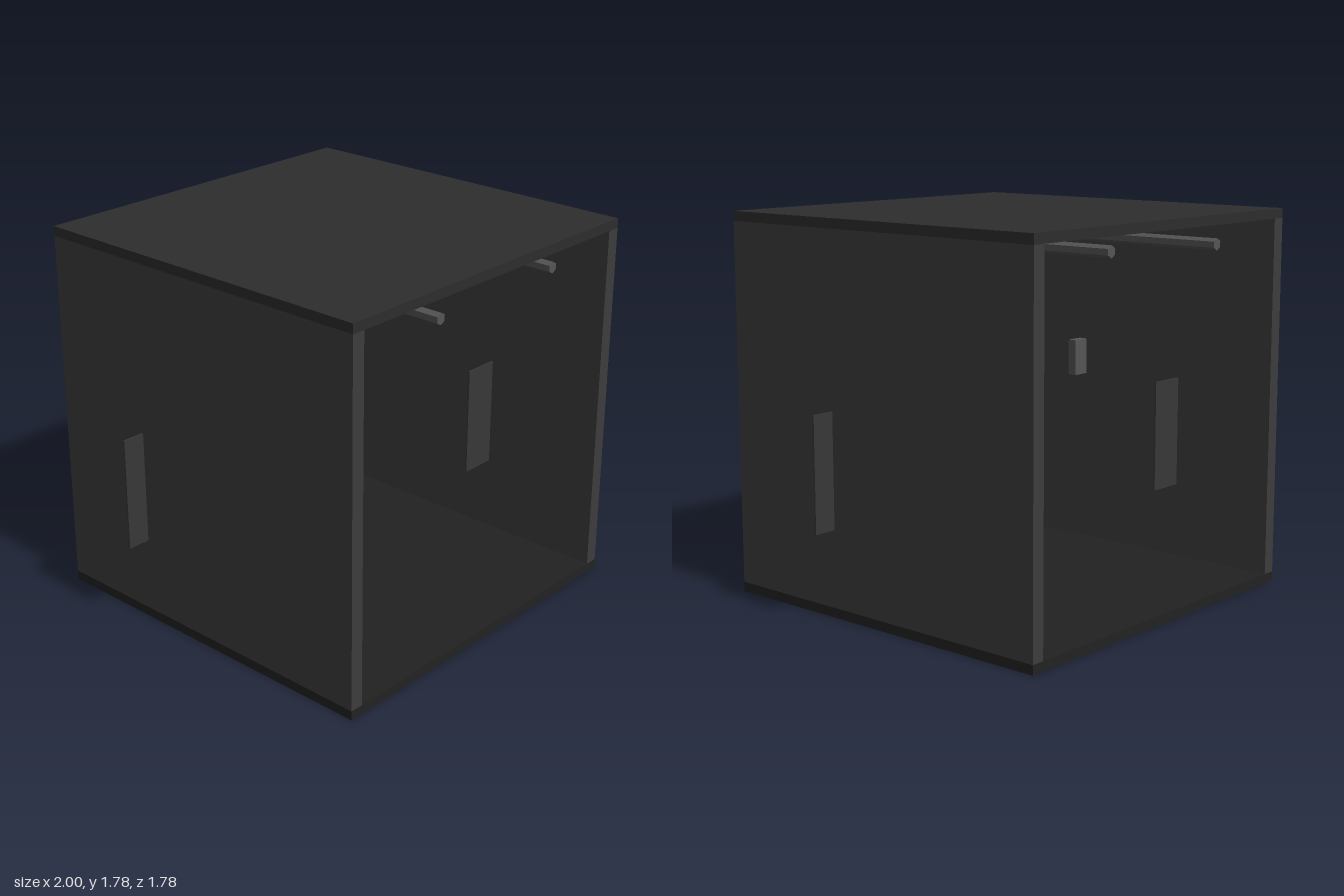
import * as THREE from 'three';

export function createModel() {
  const model = new THREE.Group();
  const paint = (color) => new THREE.MeshStandardMaterial({ color, flatShading: true });
  const ceilingPaint = paint(0x2d2d2d);
  const floorPaint = paint(0x222222);
  const wallPaint = paint(0x3d3d3d);
  const panelPaint = paint(0x383838);
  const fittingPaint = paint(0x555555);

  const add = (name, geometry, material, x, y, z) => {
    const mesh = new THREE.Mesh(geometry, material);
    mesh.name = name;
    mesh.position.set(x, y, z);
    model.add(mesh);
    return mesh;
  };

  const size = 1.78; // width and depth of the open-ended room
  const height = 1.785;
  const slab = 0.045;
  const wall = 0.065;

  // Floor and ceiling slabs
  const slabGeometry = new THREE.BoxGeometry(size, slab, size);
  add('floor', slabGeometry, floorPaint, 0, slab / 2, 0);
  add('ceiling', slabGeometry, ceilingPaint, 0, height - slab / 2, 0);

  // Side walls, each pierced by a thin upright panel
  const wallGeometry = new THREE.BoxGeometry(wall, height - 2 * slab, size);
  const panelGeometry = new THREE.BoxGeometry(0.357, 0.535, 0.009);
  for (const [side, sign, panelZ] of [['left', 1, 0.267], ['right', -1, -0.361]]) {
    add(side + 'Wall', wallGeometry, wallPaint, sign * (size - wall) / 2, height / 2, 0);
    add(side + 'Panel', panelGeometry, panelPaint, sign * 0.8215, 0.672, panelZ);
  }

  // Hexagonal pipes running front to back under the ceiling
  const pipeGeometry = new THREE.CylinderGeometry(0.027, 0.027, size, 6);
  for (const [name, x, y] of [['rightPipe', -0.36, 1.654], ['leftPipe', 0.4, 1.677]]) {
    add(name, pipeGeometry, fittingPaint, x, y, 0).rotation.x = Math.PI / 2;
  }

  // Small box fixed to the inside of the right wall
  add('wallBox', new THREE.BoxGeometry(0.09, 0.178, 0.045), fittingPaint, -0.78, 0.987, 0.23);

  return model;
}
